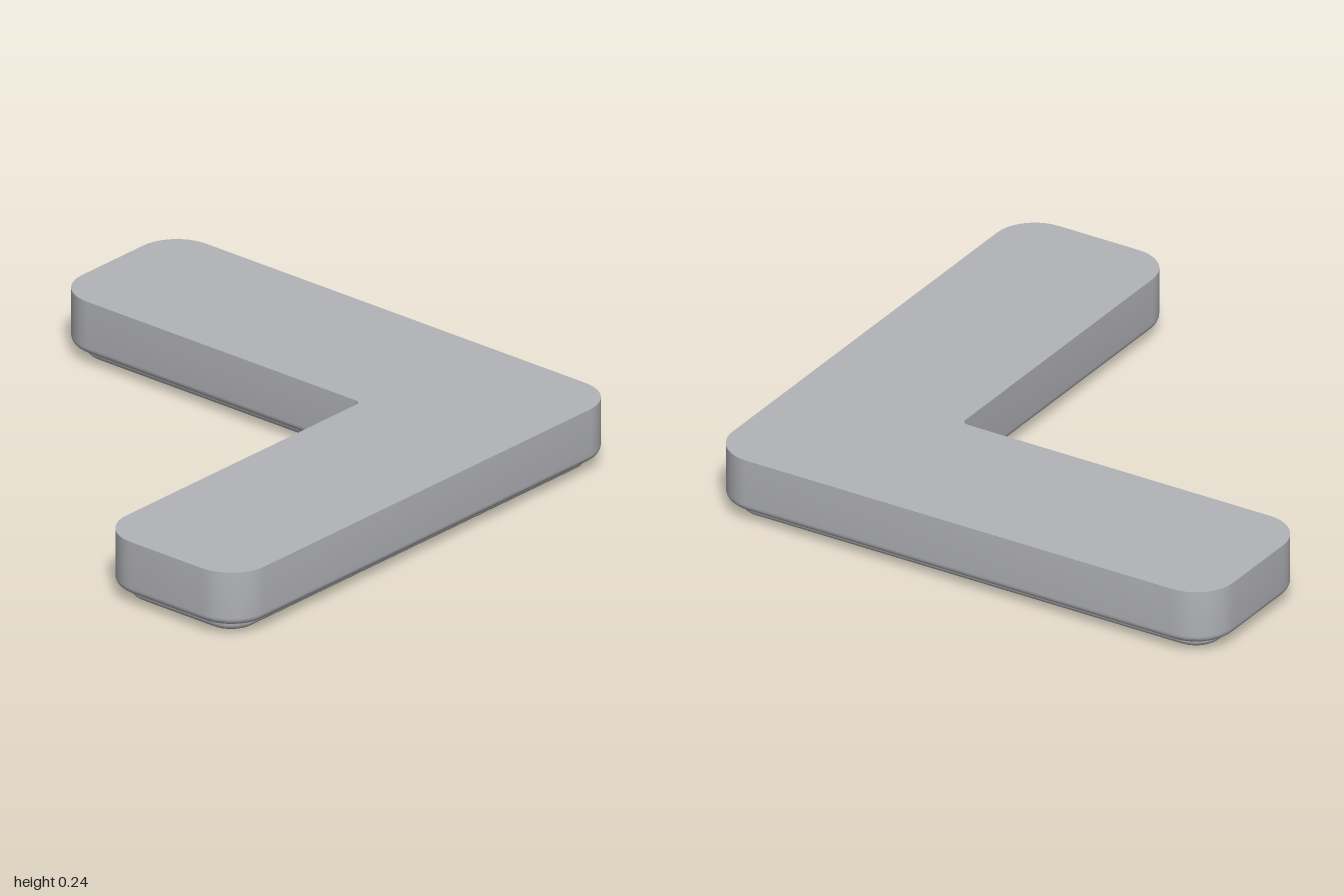
import * as THREE from 'three';
import { toCreasedNormals } from 'three/addons/utils/BufferGeometryUtils.js';

const H = Math.PI / 2;
const ARC = 10;

// Rounded L corners: centre x, centre -z, radius, start angle, turn direction
const R = 0.15, FILLET = 0.025;
const corners = [
  [-0.985 + R, -1 + R, R, 2 * H, 1],
  [0.985 - R, -1 + R, R, 3 * H, 1],
  [0.985 - R, 1 - R, R, 0, 1],
  [0.37 + R, 1 - R, R, H, 1],
  [0.37 - FILLET, -0.38 + FILLET, FILLET, 0, -1], // inner corner
  [-0.985 + R, -0.38 - R, R, H, 1],
];

// L outline moved inward by a given inset
function outline(inset) {
  const points = [];
  for (const [cx, cy, r, start, turn] of corners) {
    const radius = r - turn * inset;
    for (let i = 0; i <= ARC; i++) {
      const a = start + turn * H * i / ARC;
      points.push(new THREE.Vector2(cx + radius * Math.cos(a), cy + radius * Math.sin(a)));
    }
  }
  return points;
}

// Loft the outline through [inset, height] sections, closed at both ends
function loft(sections) {
  const positions = [], index = [];
  const n = corners.length * (ARC + 1);
  for (const [inset, y] of sections) {
    for (const p of outline(inset)) positions.push(p.x, y, -p.y);
  }
  for (let s = 0; s < sections.length - 1; s++) {
    for (let k = 0; k < n; k++) {
      const a = s * n + k, b = s * n + (k + 1) % n;
      index.push(a, b, b + n, a, b + n, a + n);
    }
  }
  const last = (sections.length - 1) * n;
  for (const [a, b, c] of THREE.ShapeUtils.triangulateShape(outline(sections[0][0]), [])) {
    index.push(a, c, b);
  }
  for (const [a, b, c] of THREE.ShapeUtils.triangulateShape(outline(sections[sections.length - 1][0]), [])) {
    index.push(last + a, last + b, last + c);
  }
  const geometry = new THREE.BufferGeometry();
  geometry.setAttribute('position', new THREE.Float32BufferAttribute(positions, 3));
  geometry.setIndex(index);
  return toCreasedNormals(geometry, 0.6);
}

// Quarter-round lower edge ending at the given inset
function roundedEdge(inset, y, r) {
  const steps = 6, sections = [];
  for (let i = 0; i <= steps; i++) {
    const a = H * i / steps;
    sections.push([inset + r * (1 - Math.sin(a)), y + r * (1 - Math.cos(a))]);
  }
  return sections;
}

export function createModel() {
  const group = new THREE.Group();
  const grey = new THREE.MeshStandardMaterial({ color: 0xb3b4b8 });
  grey.name = 'grey';

  // Main slab: flat sharp top, rounded lower edge
  const slab = new THREE.Mesh(loft([...roundedEdge(0, 0.042, 0.03), [0, 0.243]]), grey);
  slab.name = 'slab';

  // Inset base with a rounded lower edge
  const base = new THREE.Mesh(loft([...roundedEdge(0.05, 0, 0.03), [0.05, 0.036], [0.056, 0.044]]), grey);
  base.name = 'base';

  group.add(slab, base);
  return group;
}
